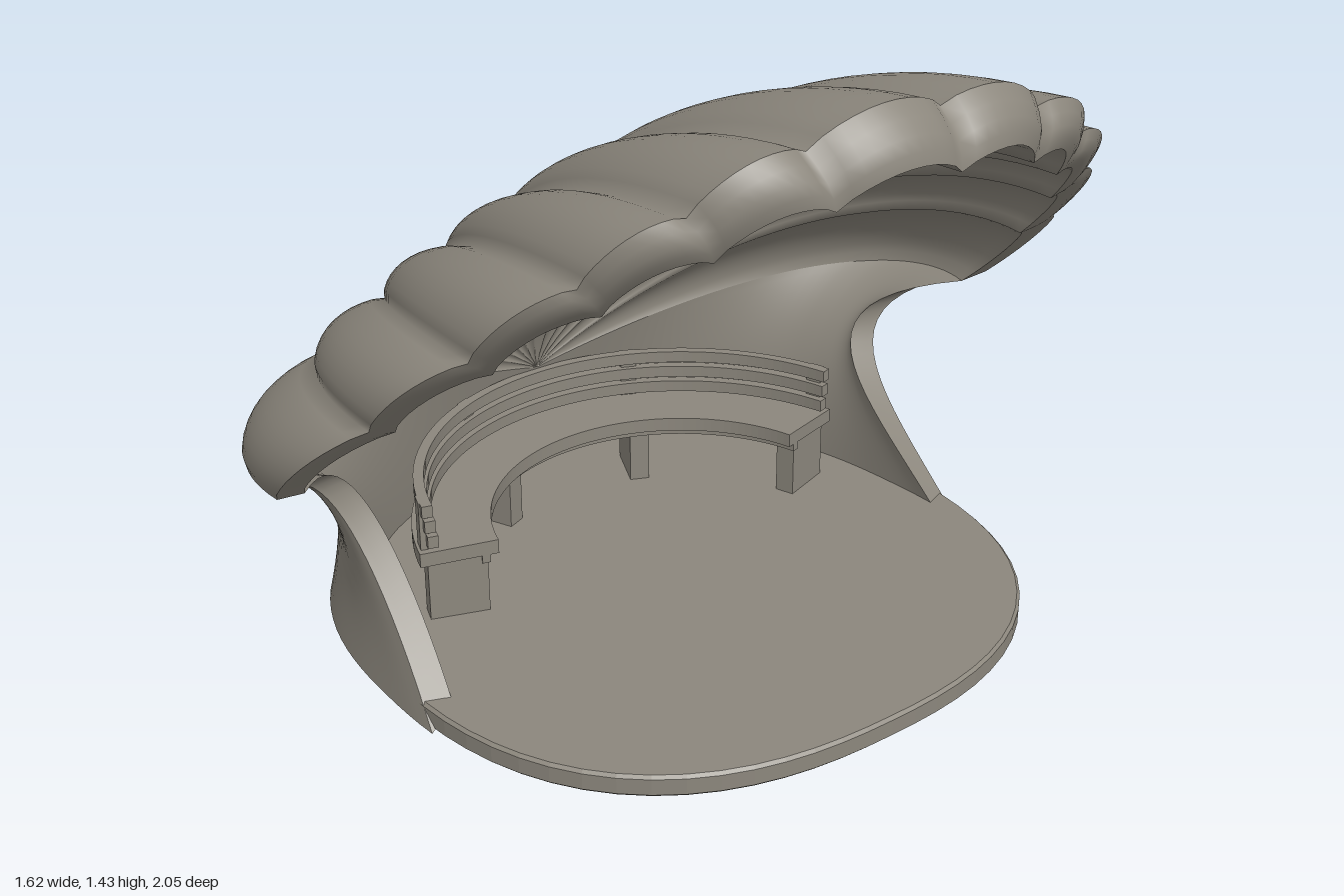
import * as THREE from 'three';

const stone = new THREE.MeshStandardMaterial({ color: 0x8c877d });
stone.name = 'weathered stone';

const lerp = THREE.MathUtils.lerp;
const bez = (a, b, c, d, t) => {
  const k = 1 - t;
  return k * k * k * a + 3 * k * k * t * b + 3 * k * t * t * c + t * t * t * d;
};

// Smooth surface from a rule fn(u, v), with u and v from 0 to 1
function surface(nu, nv, fn, flip = false) {
  const pos = [], idx = [];
  for (let i = 0; i <= nu; i++)
    for (let j = 0; j <= nv; j++) pos.push(...fn(i / nu, j / nv));
  for (let i = 0; i < nu; i++)
    for (let j = 0; j < nv; j++) {
      const a = i * (nv + 1) + j, b = a + nv + 1;
      if (flip) idx.push(a, a + 1, b, b, a + 1, b + 1);
      else idx.push(a, b, a + 1, b, b + 1, a + 1);
    }
  const g = new THREE.BufferGeometry();
  g.setAttribute('position', new THREE.Float32BufferAttribute(pos, 3));
  g.setIndex(idx);
  g.computeVertexNormals();
  return g;
}

function add(parent, name, geometry) {
  const m = new THREE.Mesh(geometry, stone);
  m.name = name;
  parent.add(m);
  return m;
}

// Slightly squared circle used for the floor plan
function planPoint(angle, radius) {
  const c = Math.cos(angle), s = Math.sin(angle);
  const k = radius * (Math.abs(c) ** 2.45 + Math.abs(s) ** 2.45) ** (-1 / 2.45);
  return [-0.03 + k * c, k * s];
}

// Fan angles in degrees of the grooves between the flutes
const grooves = [-78, -62, -48, -35, -21, -4, 14, 28, 40, 52, 64, 78];
const flutes = grooves.length - 1;

// Point on the shell: u across the fan, t from hinge to rim, inner or outer skin
function shellPoint(u, t, inner) {
  const k = Math.min(flutes - 1, Math.floor(u * flutes + 1e-9));
  const f = u * flutes - k;
  const phi = THREE.MathUtils.degToRad(lerp(grooves[k], grooves[k + 1], f));
  const groove = 1 - Math.pow(Math.max(0, Math.sin(Math.PI * f)), 0.7);
  const c = Math.cos(phi);
  const setback = 0.2 * c ** 4;
  const rimX = (0.36 + 1.07 * c - 0.6) / 0.89 - setback;
  const span = rimX + 0.72;
  let x = bez(-0.72, -0.72 + span * 0.056, -0.72 + span * 0.507, rimX, t);
  let r = bez(0, 0.47 + 0.36 * (1 - c), 1.01 + 0.14 * (1 - c), 1.07, t);
  r *= 1 - 0.04 * groove * Math.min(1, t * 1.6);
  x += groove * (0.03 * Math.sin(Math.PI * t) - 0.02 * t * t * c);
  if (inner) {
    const thick = 0.06 + 0.05 * c;
    x += lerp(0.1, setback - thick * c / 0.89, t);
    r -= thick * t;
  }
  return [x, 0.36 + r * c, r * Math.sin(phi)];
}

// Point on the supporting wall: s from -1 to 1 around the back, v from floor to shell
function wallPoint(s, v, inner) {
  const top = shellPoint(s < 0 ? 0 : 1, Math.abs(s), inner);
  const w = Math.abs(s) ** 3;
  const waist = THREE.MathUtils.smoothstep(Math.abs(s), 0.1, 0.75) * (inner ? lerp(0.6, 1, w) : 1);
  const angle = Math.PI - 1.79 * s;
  const [fx, fz] = planPoint(angle, inner ? lerp(0.67, 0.72, w) : 0.784);
  const foot = [fx, inner ? 0.04 : 0, fz];
  const inward = [-Math.cos(angle), 0, -Math.sin(angle)];
  const pull1 = [-0.17, 0.08, 0], pull2 = [-0.39, 0.05, 0];
  return foot.map((b, i) => bez(
    b, lerp(b, top[i], 0.35) + w * pull1[i] + waist * 0.12 * inward[i],
    lerp(b, top[i], 0.7) + w * pull2[i] + waist * 0.22 * inward[i], top[i], v));
}

// Flat curved slab opening towards +x
function arcSlab(r0, r1, y0, y1, half) {
  const s = new THREE.Shape();
  s.absarc(0, 0, r1, Math.PI - half, Math.PI + half, false);
  s.absarc(0, 0, r0, Math.PI + half, Math.PI - half, true);
  const g = new THREE.ExtrudeGeometry(s, { depth: y1 - y0, bevelEnabled: false, curveSegments: 32 });
  g.rotateX(-Math.PI / 2);
  g.translate(0, y0, 0);
  return g;
}

export function createModel() {
  const model = new THREE.Group();
  model.name = 'shellPavilion';

  // Floor slab with a softened edge
  const plan = [];
  for (let i = 0; i < 72; i++) plan.push(new THREE.Vector2(...planPoint(i / 72 * Math.PI * 2, 0.768)));
  const floorGeo = new THREE.ExtrudeGeometry(new THREE.Shape(plan),
    { depth: 0.038, bevelThickness: 0.007, bevelSize: 0.007, bevelSegments: 1 });
  floorGeo.rotateX(-Math.PI / 2);
  floorGeo.translate(0, 0.007, 0);
  add(model, 'floor', floorGeo);

  // Fluted canopy: outer skin, inner skin and the scalloped lip joining them
  const canopy = new THREE.Group();
  canopy.name = 'canopy';
  model.add(canopy);
  const nu = flutes * 10;
  add(canopy, 'canopyOuter', surface(nu, 32, (u, t) => shellPoint(u, t, false)));
  add(canopy, 'canopyInner', surface(nu, 32, (u, t) => shellPoint(u, t, true), true));
  add(canopy, 'canopyLip', surface(nu, 4, (u, w) => {
    const a = shellPoint(u, 1, false), b = shellPoint(u, 1, true);
    const p = a.map((n, i) => lerp(n, b[i], w));
    p[0] += 0.02 * Math.sin(Math.PI * w) * Math.sin(Math.PI * u);
    return p;
  }));

  // Wall sweeping from the floor up into the canopy
  const wall = new THREE.Group();
  wall.name = 'wall';
  model.add(wall);
  add(wall, 'wallOuter', surface(64, 20, (u, v) => wallPoint(u * 2 - 1, v, false)));
  add(wall, 'wallInner', surface(64, 20, (u, v) => wallPoint(u * 2 - 1, v, true), true));
  for (const side of [-1, 1])
    add(wall, side > 0 ? 'wallEndLeft' : 'wallEndRight', surface(4, 20, (a, v) => {
      const p = wallPoint(side, v, false), q = wallPoint(side, v, true);
      return p.map((n, i) => lerp(n, q[i], a));
    }, side < 0));

  // Curved bench with slatted back and panel legs
  const bench = new THREE.Group();
  bench.name = 'bench';
  model.add(bench);
  const half = 1.3;
  add(bench, 'benchSeat', arcSlab(0.45, 0.635, 0.2, 0.235, half));
  add(bench, 'benchApron', arcSlab(0.47, 0.49, 0.18, 0.2, half));
  for (let i = 0; i < 3; i++)
    add(bench, 'backSlat', arcSlab(0.59 + i * 0.005, 0.615 + i * 0.005, 0.245 + i * 0.04, 0.275 + i * 0.04, half));
  for (let i = 0; i < 4; i++) {
    const a = lerp(-half + 0.06, half - 0.06, i / 3);
    const leg = add(bench, 'benchLeg', new THREE.BoxGeometry(0.14, 0.16, 0.05));
    leg.position.set(-0.545 * Math.cos(a), 0.125, 0.545 * Math.sin(a));
    leg.rotation.y = a;
    const post = add(bench, 'backPost', new THREE.BoxGeometry(0.02, 0.13, 0.04));
    post.position.set(-0.618 * Math.cos(a), 0.29, 0.618 * Math.sin(a));
    post.rotation.y = a;
  }
  return model;
}
